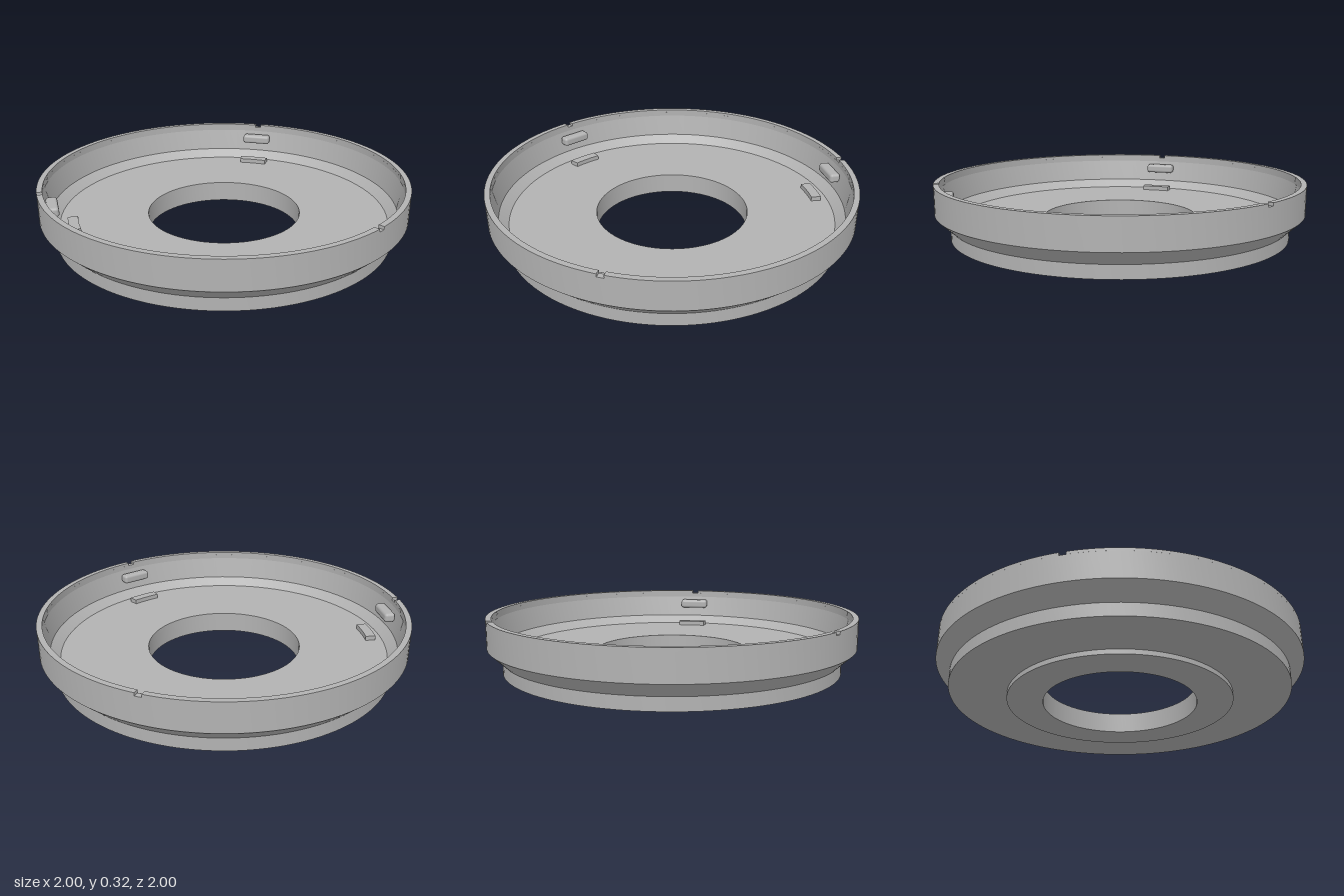
import * as THREE from 'three';
import { toCreasedNormals } from 'three/addons/utils/BufferGeometryUtils.js';
import { RoundedBoxGeometry } from 'three/addons/geometries/RoundedBoxGeometry.js';

const THIRD = (Math.PI * 2) / 3;

// Ring sector centred on the back (-z), standing on y0
function arcBlock(r0, r1, halfAngle, y0, height, segments) {
  const mid = Math.PI / 2;
  const shape = new THREE.Shape();
  shape.absarc(0, 0, r1, mid - halfAngle, mid + halfAngle, false);
  shape.absarc(0, 0, r0, mid + halfAngle, mid - halfAngle, true);
  shape.closePath();
  const geo = new THREE.ExtrudeGeometry(shape, { depth: height, bevelEnabled: false, curveSegments: segments });
  geo.rotateX(-Math.PI / 2).translate(0, y0, 0);
  return toCreasedNormals(geo, 0.4);
}

export function createModel() {
  const model = new THREE.Group();
  model.name = 'ringHousing';
  const grey = new THREE.MeshStandardMaterial({ color: 0xb2b2b2 });
  grey.name = 'grey';

  const add = (name, geo, angle = 0) => {
    const mesh = new THREE.Mesh(geo, grey);
    mesh.name = name;
    mesh.rotation.y = angle;
    model.add(mesh);
    return mesh;
  };

  // Dish with a central hole, closed profile up to the bottom of the rim notches
  const profile = [
    [0.42, 0], [0.615, 0], [0.615, 0.026], [0.922, 0.026], [0.922, 0.094],
    [1, 0.168], [1, 0.309], [0.97, 0.309], [0.97, 0.285], [0.945, 0.16],
    [0.895, 0.115], [0.42, 0.115], [0.42, 0],
  ].map(([r, y]) => new THREE.Vector2(r, y));
  add('dish', toCreasedNormals(new THREE.LatheGeometry(profile, 128), 0.15));

  const rimGeo = arcBlock(0.97, 1, THIRD / 2 - 0.018, 0.309, 0.016, 43);
  const padGeo = arcBlock(0.8, 0.855, 0.102, 0.11, 0.03, 8);
  const lugGeo = new RoundedBoxGeometry(0.172, 0.052, 0.06, 4, 0.016);
  lugGeo.translate(0, 0.243, -0.927);

  // Rim arcs with notches between them, floor pads and wall lugs, three of each
  for (let i = 0; i < 3; i++) {
    add('rimArc', rimGeo, (i + 0.5) * THIRD);
    add('floorPad', padGeo, i * THIRD);
    add('wallLug', lugGeo, i * THIRD);
  }
  return model;
}
